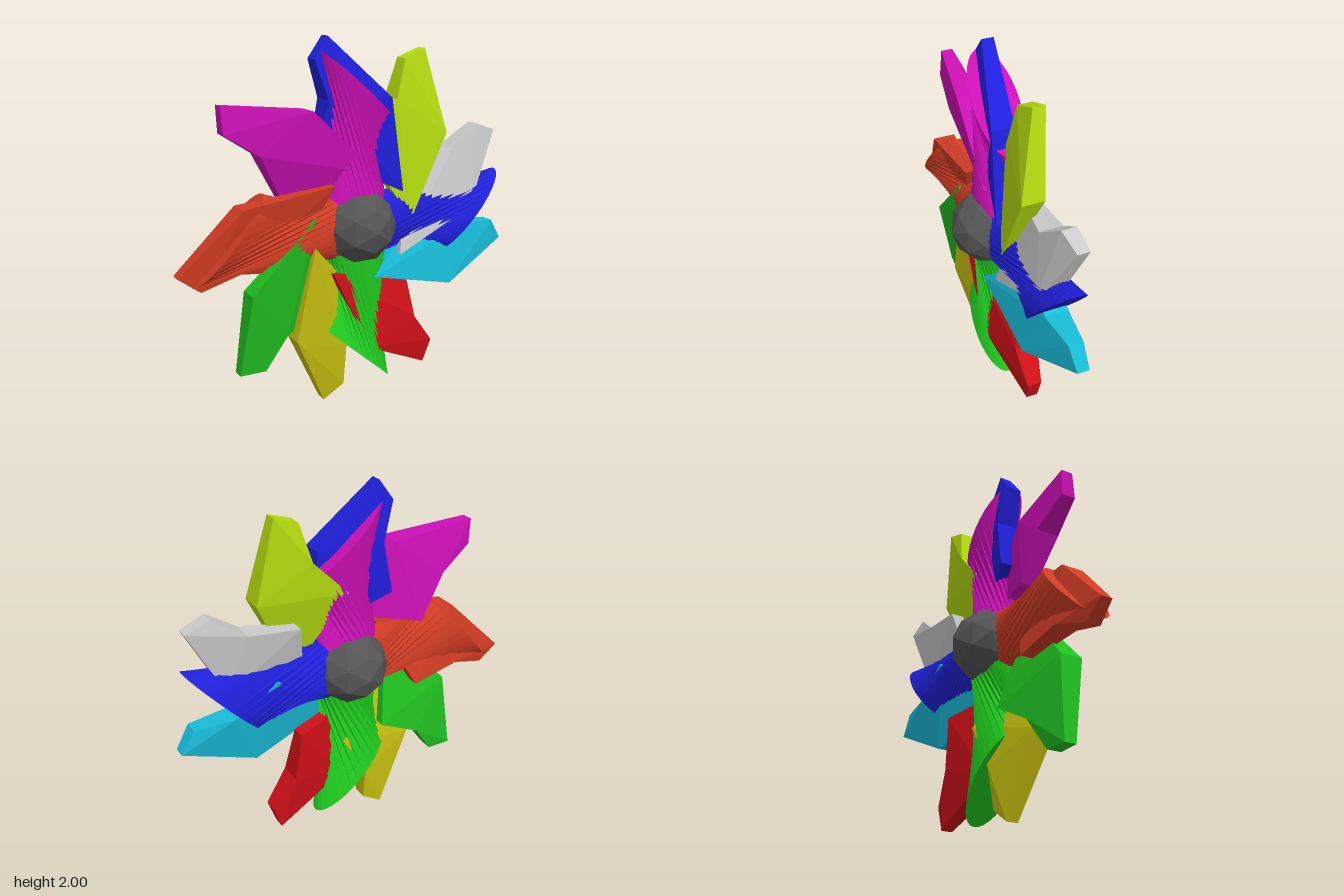
import * as THREE from 'three';

// Flat-shaded skin over a list of equal-length rings, closed at both ends
function loft(rings) {
  const n = rings[0].length;
  const out = [];
  const tri = (a, b, c) => out.push(...a, ...b, ...c);
  for (let i = 0; i < rings.length - 1; i++) {
    for (let k = 0; k < n; k++) {
      const m = (k + 1) % n;
      const [a, b] = [rings[i], rings[i + 1]];
      tri(a[k], b[k], b[m]);
      tri(a[k], b[m], a[m]);
    }
  }
  const first = rings[0], last = rings[rings.length - 1];
  for (let k = 1; k < n - 1; k++) {
    tri(first[0], first[k], first[k + 1]);
    tri(last[0], last[k + 1], last[k]);
  }
  const geo = new THREE.BufferGeometry();
  geo.setAttribute('position', new THREE.Float32BufferAttribute(out, 3));
  geo.computeVertexNormals();
  return geo;
}

// Twisted elliptical blade: one long span with a slanted end, so its sides pleat
function twistedBlade() {
  const sides = 32, twist = 1.3;
  const root = [], tip = [];
  for (let k = 0; k < sides; k++) {
    const t = -k / sides * Math.PI * 2;
    root.push([0.08, 0.19 * Math.cos(t + twist), 0.125 * Math.sin(t + twist)]);
    tip.push([0.735 + 0.195 * Math.cos(t), -0.01 + 0.22 * Math.cos(t), 0.125 * Math.sin(t)]);
  }
  return loft([root, tip]);
}

// Bent, pitched vane; each station is outer [x, y, back, front] and inner [x, y, back, front]
function bentVane() {
  const stations = [
    [[0.13, -0.268, 0.05, 0.1], [0.43, 0.157, -0.1, -0.02]],
    [[0.645, -0.277, -0.03, 0.095], [0.70, 0.064, -0.09, 0.04]],
    [[1.015, 0, -0.06, 0.005], [0.915, 0.1, -0.06, 0.02]],
  ];
  return loft(stations.map(([o, i]) => [
    [o[0], o[1], o[3]], [i[0], i[1], i[3]], [i[0], i[1], i[2]], [o[0], o[1], o[2]],
  ]));
}

export function createModel() {
  const model = new THREE.Group();
  const add = (name, geo, color, degrees = 0) => {
    const mat = new THREE.MeshStandardMaterial({ color, flatShading: true });
    const mesh = new THREE.Mesh(geo, mat);
    mesh.name = name;
    mesh.position.y = 1;
    mesh.rotation.z = THREE.MathUtils.degToRad(degrees);
    model.add(mesh);
  };

  // Faceted hub
  const hub = new THREE.IcosahedronGeometry(1, 1);
  hub.scale(0.215, 0.215, 0.25);
  add('hub', hub, 0x555555);

  // Four twisted blades, a quarter turn apart
  const blade = twistedBlade();
  [0x2020dd, 0xcc10b5, 0xd03c24, 0x20d020].forEach((color, i) =>
    add('twistedBlade' + (i + 1), blade, color, i * 90));

  // Nine bent vanes, unevenly spaced
  const vane = bentVane();
  [
    [99, 0x2020dd], [65, 0xb4dc10], [25.6, 0xcccccc], [-12.4, 0x18bcd8], [-63.2, 0xd01018],
    [-101.4, 0xc8c010], [-133, 0x20c020], [-171.5, 0xd03c24], [137.4, 0xcc10b5],
  ].forEach(([angle, color], i) => add('bentVane' + (i + 1), vane, color, angle));

  return model;
}
